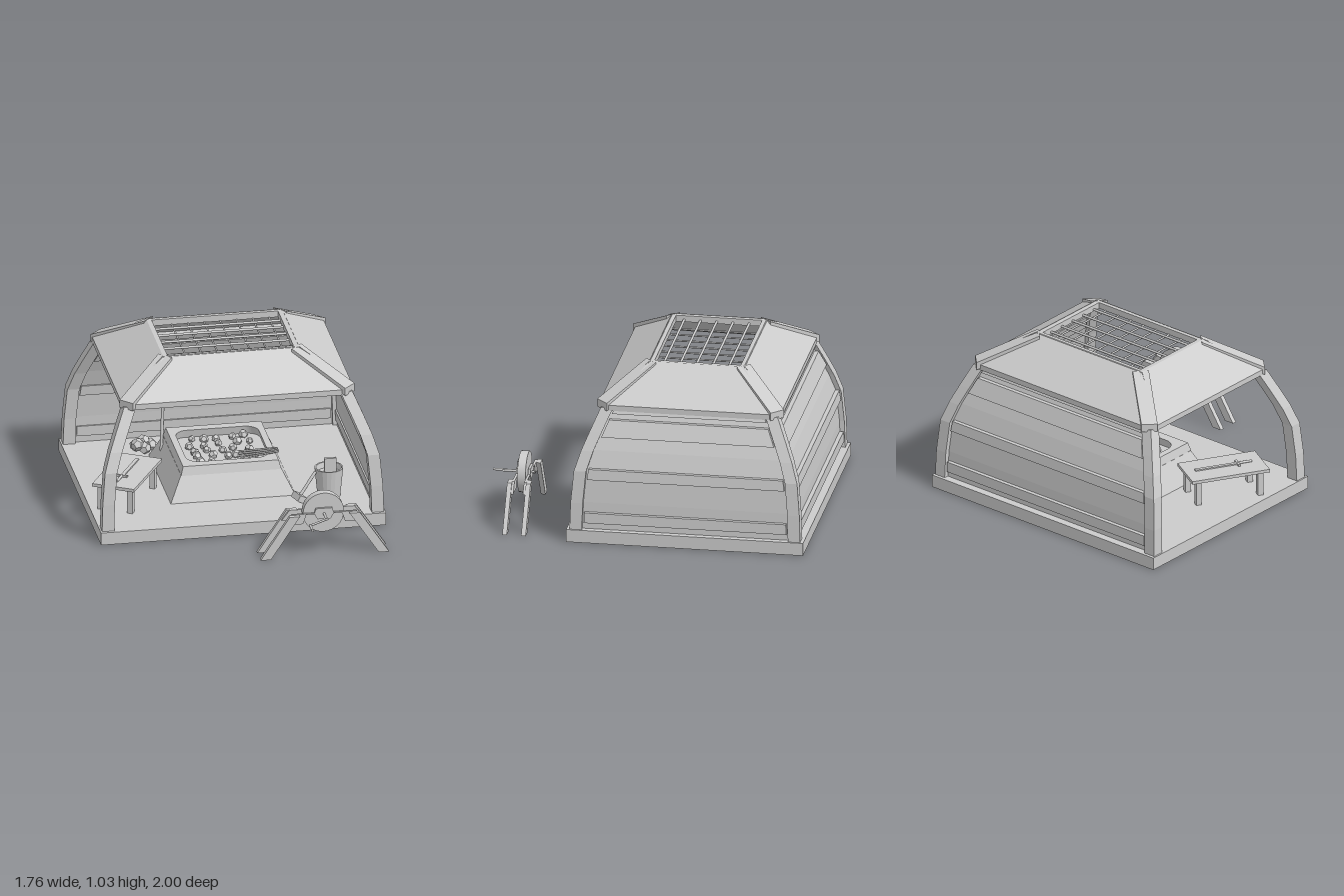
import * as THREE from 'three';
import { ConvexGeometry } from 'three/addons/geometries/ConvexGeometry.js';

const V = (x, y, z) => new THREE.Vector3(x, y, z);
const smooth = new THREE.MeshStandardMaterial({ color: 0xcccccc });
const flat = new THREE.MeshStandardMaterial({ color: 0xcccccc, flatShading: true });

function add(parent, name, geo, pos = [0, 0, 0], rot = [0, 0, 0], mat = flat) {
  const m = new THREE.Mesh(geo, mat);
  m.name = name;
  m.position.set(...pos);
  m.rotation.set(...rot);
  parent.add(m);
  return m;
}
const box = (p, name, size, pos, rot) => add(p, name, new THREE.BoxGeometry(...size), pos, rot);
const hull = (p, name, pts) => add(p, name, new ConvexGeometry(pts));
const group = (p, name, pos = [0, 0, 0]) => {
  const g = new THREE.Group();
  g.name = name;
  g.position.set(...pos);
  p.add(g);
  return g;
};
// round bar between two points
function rod(p, name, a, b, r) {
  const d = b.clone().sub(a);
  const m = add(p, name, new THREE.CylinderGeometry(r, r, d.length(), 8), a.clone().add(b).multiplyScalar(0.5).toArray(), [0, 0, 0], smooth);
  m.quaternion.setFromUnitVectors(V(0, 1, 0), d.normalize());
}
let seed = 7;
const rnd = () => (seed = (seed * 16807) % 2147483647) / 2147483647;

// half extents of the hut at its foot, and the inward curve of its corners
const HX = 0.87, HZ = 0.71;
const curve = [[0.08, 0], [0.25, 0.005], [0.45, 0.022], [0.57, 0.06], [0.68, 0.105], [0.82, 0.165]];
function inset(y) {
  let i = 1;
  while (i < curve.length - 1 && y > curve[i][0]) i++;
  const [y0, o0] = curve[i - 1], [y1, o1] = curve[i];
  return o0 + (o1 - o0) * (y - y0) / (y1 - y0);
}

function buildPosts(hut) {
  for (const sx of [-1, 1]) for (const sz of [-1, 1]) {
    const post = group(hut, 'cornerPost');
    const ring = ([y, o]) => [0, 0.075].flatMap(a => [0, 0.075].map(b => V(sx * (HX - o - a), y, sz * (HZ - o - b))));
    for (let i = 1; i < curve.length; i++) hull(post, 'postSection', [...ring(curve[i - 1]), ...ring(curve[i])]);
    // hip rib running up to the smoke opening
    const end = (x, y, z) => [-0.035, 0.035].flatMap(w => [0, -0.05].map(h => V(sx * (x + w), y + h, sz * (z - w))));
    hull(hut, 'roofRib', [...end(0.69, 0.855, 0.54), ...end(0.405, 1.03, 0.285)]);
  }
}

// at(d, y, w) maps outward distance, height and sideways position to a point
function buildWall(hut, name, at, hd, hw, turn) {
  const wall = group(hut, name);
  const ring = ([y, o]) => [0.03, 0.05].flatMap(t => [-1, 1].map(s => at(hd - o - t, y, s * (hw - o - 0.04))));
  for (let i = 1; i < curve.length; i++) hull(wall, 'wallPanel', [...ring(curve[i - 1]), ...ring(curve[i])]);
  for (const [y, h] of [[0.155, 0.065], [0.43, 0.065], [0.70, 0.1], [0.805, 0.04]]) {
    const ends = [y - h / 2, y + h / 2].flatMap(yy => [0.005, 0.06].flatMap(t =>
      [-1, 1].map(s => at(hd - inset(yy) - t, yy, s * (hw - inset(yy) - 0.085)))));
    hull(wall, 'wallPlank', ends);
  }
}

function buildRoof(hut) {
  const panel = (at, d0, w0, d1, w1) => hull(hut, 'roofPanel', [0, -0.035].flatMap(t => [-1, 1].flatMap(s =>
    [at(d0, 0.84 + t, s * w0), at(d1, 1.03 + t, s * w1)])));
  for (const s of [-1, 1]) {
    panel((d, y, w) => V(w, y, s * d), 0.56, 0.66, 0.29, 0.41);
    panel((d, y, w) => V(s * d, y, w), 0.715, 0.5, 0.42, 0.29);
    box(hut, 'openingBeam', [0.84, 0.04, 0.03], [0, 1.008, s * 0.28]);
    box(hut, 'openingBeam', [0.03, 0.04, 0.56], [s * 0.405, 1.008, 0]);
  }
  // grate over the smoke opening
  const grate = group(hut, 'roofGrate');
  for (let i = 0; i < 5; i++) rod(grate, 'grateBar', V(-0.4, 1.0, -0.185 + i * 0.1), V(0.4, 1.0, -0.185 + i * 0.1), 0.008);
  for (let i = 0; i < 7; i++) rod(grate, 'grateBar', V(-0.265 + i * 0.1, 0.988, -0.28), V(-0.265 + i * 0.1, 0.988, 0.28), 0.006);
}

function buildForge(model) {
  const forge = group(model, 'forge', [0, 0, -0.28]);
  const ring = (x, y, z) => [-1, 1].flatMap(a => [-1, 1].map(b => V(a * x, y, b * z)));
  hull(forge, 'forgeBody', [...ring(0.385, 0.08, 0.38), ...ring(0.31, 0.235, 0.31)]);
  // rim with a rounded opening
  const X = 0.295, Z = 0.3, x = 0.255, z = 0.24, r = 0.08;
  const rim = new THREE.Shape([[-X, -Z], [X, -Z], [X, Z], [-X, Z]].map(p => new THREE.Vector2(...p)));
  const hole = new THREE.Path();
  hole.absarc(x - r, z - r, r, 0, Math.PI / 2);
  hole.absarc(-x + r, z - r, r, Math.PI / 2, Math.PI);
  hole.absarc(-x + r, -z + r, r, Math.PI, Math.PI * 1.5);
  hole.absarc(x - r, -z + r, r, Math.PI * 1.5, Math.PI * 2);
  hole.closePath();
  rim.holes.push(hole);
  const geo = new THREE.ExtrudeGeometry(rim, { depth: 0.055, bevelEnabled: false, curveSegments: 6 });
  const p = geo.attributes.position;
  for (let i = 0; i < p.count; i++) if (p.getZ(i) < 0.01) p.setXY(i, p.getX(i) * 1.05, p.getY(i) * 1.05);
  geo.computeVertexNormals();
  add(forge, 'forgeRim', geo, [0, 0.232, 0], [-Math.PI / 2, 0, 0]);
  // coals scattered on a jittered grid
  for (let i = 0; i < 5; i++) for (let j = 0; j < 5; j++)
    add(forge, 'coal', new THREE.DodecahedronGeometry(0.022 + rnd() * 0.01),
      [-0.18 + i * 0.09 + (rnd() - 0.5) * 0.06, 0.25, -0.18 + j * 0.09 + (rnd() - 0.5) * 0.05], [rnd() * 3, rnd() * 3, 0]);
  // irons heating in the coals
  for (let i = 0; i < 4; i++) rod(forge, 'heatingIron', V(0.08, 0.265, 0.08 + i * 0.035), V(0.31, 0.31, 0.17 + i * 0.018), 0.006);
  // poker leaning on the side
  rod(model, 'poker', V(-0.34, 0.08, -0.5), V(-0.315, 0.48, -0.56), 0.01);
}

function buildTable(model) {
  const table = group(model, 'workTable', [-0.63, 0, -0.04]);
  table.rotation.y = Math.PI / 3;
  box(table, 'tableTop', [0.5, 0.02, 0.27], [0, 0.248, 0]);
  for (const a of [-1, 1]) for (const b of [-1, 1]) box(table, 'tableLeg', [0.035, 0.17, 0.035], [a * 0.2, 0.16, b * 0.095]);
  box(table, 'blade', [0.27, 0.008, 0.022], [0.05, 0.263, 0]);
  box(table, 'bladeGuard', [0.015, 0.012, 0.07], [-0.09, 0.264, 0]);
  rod(table, 'bladeGrip', V(-0.09, 0.265, 0), V(-0.18, 0.265, 0), 0.008);
}

function buildGrindstone(model) {
  const g = group(model, 'grindstone', [0.43, 0.27, 0.79]);
  add(g, 'stoneWheel', new THREE.CylinderGeometry(0.127, 0.127, 0.05, 32), [0, 0, 0], [Math.PI / 2, 0, 0], smooth);
  for (const s of [-1, 1]) {
    // side rail with a raised bearing
    const rail = new THREE.Shape([[-0.25, -0.06], [-0.13, -0.06], [-0.11, 0], [-0.06, 0], [-0.04, -0.035], [0.04, -0.035],
      [0.06, 0], [0.11, 0], [0.13, -0.06], [0.25, -0.06], [0.2, 0.005], [0.06, 0.005], [0.05, 0.035], [-0.05, 0.035],
      [-0.06, 0.005], [-0.2, 0.005]].map(q => new THREE.Vector2(...q)));
    add(g, 'sideRail', new THREE.ExtrudeGeometry(rail, { depth: 0.015, bevelEnabled: false }), [0, 0, s * 0.037 - 0.0075]);
    for (const a of [-1, 1]) {
      const end = (x, y) => [-0.032, 0.032].flatMap(w => [-0.014, 0.014].map(d => V(a * (x + w), y, s * 0.058 + d)));
      hull(g, 'leg', [...end(0.185, 0.002), ...end(0.365, -0.27)]);
    }
  }
  // crank
  rod(g, 'axle', V(0, 0, -0.06), V(0, 0, 0.135), 0.008);
  rod(g, 'crankArm', V(0.01, 0.002, 0.13), V(-0.105, -0.037, 0.13), 0.007);
  rod(g, 'crankHandle', V(-0.1, -0.035, 0.125), V(-0.1, -0.035, 0.21), 0.008);
}

function buildTools(model) {
  // quenching bucket
  const profile = [[0, 0.08], [0.07, 0.08], [0.088, 0.265], [0.078, 0.265], [0.07, 0.23], [0, 0.23]].map(q => new THREE.Vector2(...q));
  add(model, 'bucket', new THREE.LatheGeometry(profile, 20), [0.585, 0, 0.13], [0, 0, 0],
    new THREE.MeshStandardMaterial({ color: 0xcccccc, flatShading: true, side: THREE.DoubleSide }));
  box(model, 'bucketTool', [0.075, 0.1, 0.02], [0.595, 0.27, 0.12]);
  // hammer leaning on the bucket
  box(model, 'hammerHead', [0.05, 0.04, 0.09], [0.39, 0.105, 0.19], [0, 0.3, -0.5]);
  rod(model, 'hammerHandle', V(0.39, 0.105, 0.19), V(0.5, 0.25, 0.15), 0.01);
  // heap of ore
  for (let i = 0; i < 5; i++)
    add(model, 'oreLump', new THREE.DodecahedronGeometry(0.04), [-0.45 + (i % 3) * 0.045, 0.115 + (i > 2 ? 0.025 : 0), -0.74 + (i % 2) * 0.05], [rnd() * 3, rnd() * 3, 0]);
}

export function createModel() {
  const model = new THREE.Group();
  model.name = 'smithy';
  box(model, 'basePlatform', [1.76, 0.08, 1.46], [0, 0.04, -0.27]);
  const hut = group(model, 'hut', [0, 0, -0.27]);
  buildPosts(hut);
  buildWall(hut, 'backWall', (d, y, w) => V(w, y, -d), HZ, HX);
  buildWall(hut, 'leftWall', (d, y, w) => V(d, y, w), HX, HZ);
  buildRoof(hut);
  buildForge(model);
  buildTable(model);
  buildGrindstone(model);
  buildTools(model);
  return model;
}
